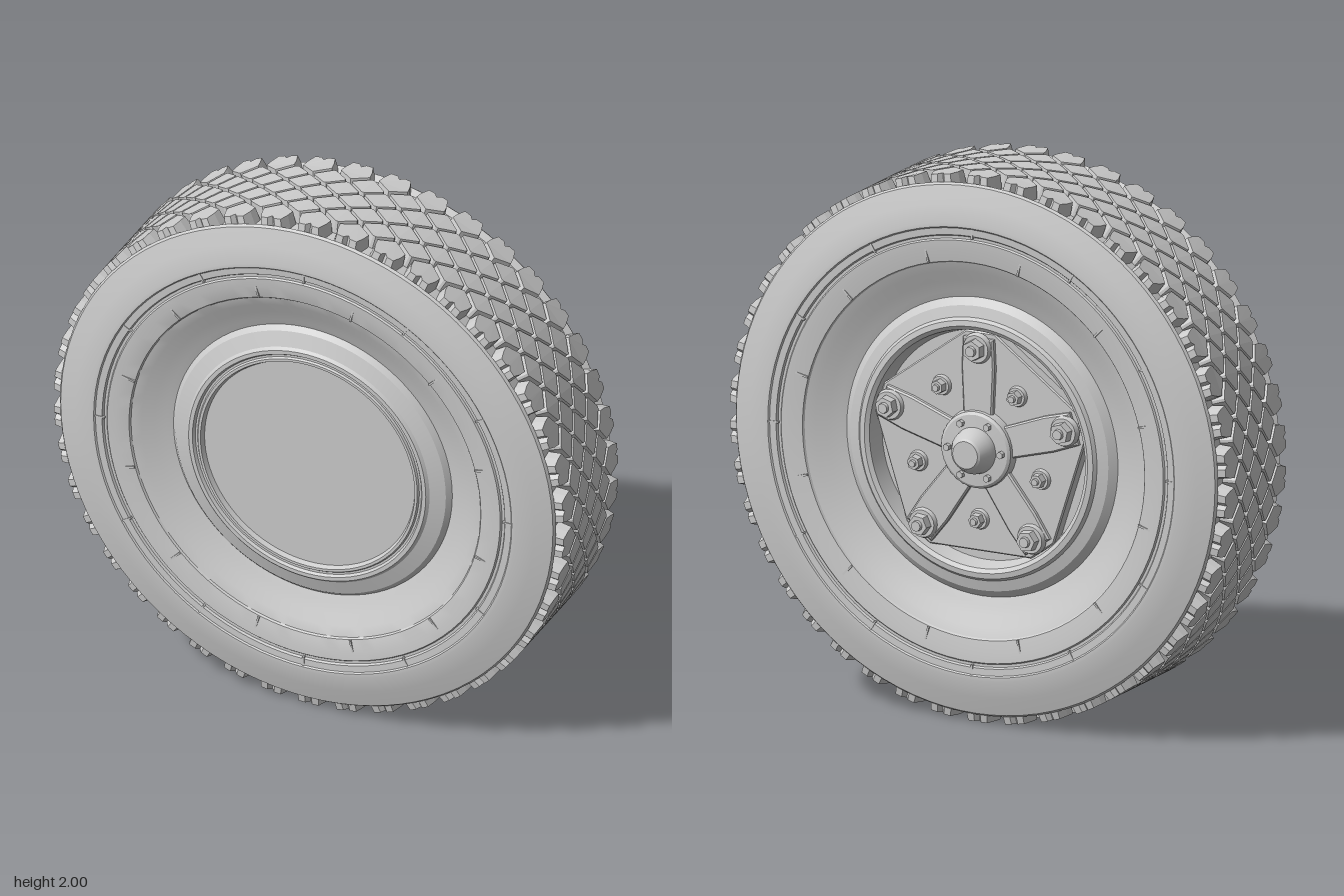
import * as THREE from 'three';
import { mergeGeometries, toCreasedNormals } from 'three/addons/utils/BufferGeometryUtils.js';

const TAU = Math.PI * 2;
const MID = 0.018; // middle plane of the tyre
const PITCHES = 42; // tread repeats round the tyre
const mat = new THREE.MeshStandardMaterial({ color: 0xcccccc });

function add(parent, name, geometry, x = 0, y = 0, z = 0) {
  const mesh = new THREE.Mesh(geometry, mat);
  mesh.name = name;
  mesh.position.set(x, y, z);
  parent.add(mesh);
  return mesh;
}

const shapeOf = (pts) => new THREE.Shape(pts.map(([x, y]) => new THREE.Vector2(x, y)));

// Profile of [radius, z] turned about the z axis
function turned(profile, segments) {
  const pts = profile.map(([r, z]) => new THREE.Vector2(r, z));
  const g = new THREE.LatheGeometry(pts, segments).rotateX(Math.PI / 2);
  return toCreasedNormals(g, 0.4);
}

// Tapered tread block, bent on to the tyre: x runs round it, y across it
function treadBlock(shape, angle, z) {
  const depth = 0.055;
  const g = new THREE.ExtrudeGeometry(shape, { depth, bevelEnabled: false });
  const p = g.attributes.position;
  for (let i = 0; i < p.count; i++) {
    const h = p.getZ(i);
    const taper = 1 - 0.14 * (h / depth);
    const t = angle - p.getX(i) * taper;
    const r = 0.945 + h;
    p.setXYZ(i, Math.sin(t) * r, Math.cos(t) * r, z + p.getY(i) * taper);
  }
  g.computeVertexNormals();
  return g;
}

function treadGeometry() {
  const diamond = shapeOf([[0.07, -0.005], [0.07, 0.005], [0.006, 0.049], [-0.006, 0.049],
    [-0.07, 0.005], [-0.07, -0.005], [-0.006, -0.049], [0.006, -0.049]]);
  // Shoulder block with a pointed inner end and a notched outer edge
  const outline = [[0, -0.048], [0.066, -0.004], [0.06, 0.03], [0.045, 0.07], [0.015, 0.07],
    [0, 0.052], [-0.015, 0.07], [-0.045, 0.07], [-0.06, 0.03], [-0.066, -0.004]];
  const outer = shapeOf(outline);
  const inner = shapeOf(outline.map(([x, y]) => [x, -y]).reverse());
  const blocks = [];
  for (let i = 0; i < PITCHES; i++) {
    const a = (i / PITCHES) * TAU;
    const half = a + TAU / PITCHES / 2;
    for (const z of [-0.0525, 0.0525]) blocks.push(treadBlock(diamond, a, MID + z));
    for (const z of [-0.105, 0, 0.105]) blocks.push(treadBlock(diamond, half, MID + z));
    blocks.push(treadBlock(outer, a, MID + 0.16), treadBlock(inner, a, MID - 0.16));
  }
  return mergeGeometries(blocks);
}

// Washer, hex nut and stud end, pointing along +z
function addNut(parent, name, r, height, x, y, z) {
  const nut = new THREE.Group();
  nut.name = name;
  nut.position.set(x, y, z);
  const disc = (part, rTop, rBase, h, sides, z0) => {
    const g = new THREE.CylinderGeometry(rTop, rBase, h, sides).rotateX(Math.PI / 2);
    add(nut, part, toCreasedNormals(g, 0.6), 0, 0, z0 + h / 2);
  };
  disc('washer', r * 1.25, r * 1.45, height * 0.3, 20, 0);
  disc('hexNut', r * 0.92, r, height * 0.5, 6, height * 0.3);
  disc('studEnd', r * 0.45, r * 0.5, height * 0.2, 12, height * 0.8);
  parent.add(nut);
}

export function createModel() {
  const model = new THREE.Group();
  model.name = 'wheel';
  const wheel = new THREE.Group();
  wheel.name = 'wheelAssembly';
  wheel.position.y = 1;
  model.add(wheel);

  // Tyre carcass: one sidewall as [radius, offset from the middle], mirrored
  const side = [[0.52, 0.15], [0.545, 0.185], [0.57, 0.195], [0.61, 0.21], [0.65, 0.23],
    [0.685, 0.243], [0.69, 0.25], [0.74, 0.258], [0.77, 0.26], [0.775, 0.254], [0.785, 0.254],
    [0.79, 0.262], [0.815, 0.263], [0.82, 0.268], [0.835, 0.268], [0.9, 0.253], [0.965, 0.235],
    [0.972, 0.225], [0.95, 0.21]];
  const back = side.map(([r, s]) => [r, MID - s]);
  const front = side.map(([r, s]) => [r, MID + s]).reverse();
  add(wheel, 'tyre', turned([...back, ...front], 96));
  add(wheel, 'treadBlocks', treadGeometry());

  // Fine raised lines across both sidewalls
  const ribs = [];
  for (let i = 0; i < 24; i++) {
    for (const s of [-1, 1]) {
      const r = i % 2 ? 0.725 : 0.8;
      const g = new THREE.BoxGeometry(0.007, i % 2 ? 0.07 : 0.04, 0.012);
      g.translate(0, r, MID + s * (i % 2 ? 0.252 : 0.259));
      ribs.push(g.rotateZ((i / 24) * TAU));
    }
  }
  add(wheel, 'sidewallRibs', mergeGeometries(ribs));

  // Rim: open dish at the back, closed face at the front
  add(wheel, 'rim', turned([[0, -0.14], [0.42, -0.14], [0.435, -0.205], [0.45, -0.215],
    [0.47, -0.212], [0.48, -0.2], [0.52, -0.19], [0.55, -0.165], [0.55, 0.2], [0.53, 0.222],
    [0.475, 0.24], [0.465, 0.25], [0.45, 0.25], [0.443, 0.24], [0.435, 0.24], [0.43, 0.247],
    [0.42, 0.247], [0.412, 0.23], [0, 0.23]], 80));

  // Hub side, turned so that its own +z points to the back
  const hub = new THREE.Group();
  hub.name = 'hub';
  hub.rotation.y = Math.PI;
  wheel.add(hub);

  // Five-sided plate with clipped corners
  const corners = [];
  for (let i = 0; i < 5; i++) {
    for (const d of [-0.13, 0.13]) {
      const a = Math.PI / 2 + (i / 5) * TAU + d;
      corners.push([Math.cos(a) * 0.425, Math.sin(a) * 0.425]);
    }
  }
  add(hub, 'hubPlate', new THREE.ExtrudeGeometry(shapeOf(corners),
    { depth: 0.04, bevelEnabled: true, bevelSize: 0.005, bevelThickness: 0.005, bevelSegments: 1 }), 0, 0, 0.14);

  // Spokes with large nuts, small nuts between them
  const spoke = shapeOf([[-0.05, 0.08], [0.05, 0.08], [0.06, 0.3], [0.055, 0.4], [-0.055, 0.4], [-0.06, 0.3]]);
  const spokeGeometry = new THREE.ExtrudeGeometry(spoke,
    { depth: 0.015, bevelEnabled: true, bevelSize: 0.006, bevelThickness: 0.006, bevelSegments: 1 });
  for (let i = 0; i < 5; i++) {
    const arm = new THREE.Group();
    arm.name = 'hubArm';
    arm.rotation.z = (i / 5) * TAU;
    hub.add(arm);
    add(arm, 'spoke', spokeGeometry, 0, 0, 0.183);
    addNut(arm, 'largeNut', 0.04, 0.062, 0, 0.37, 0.2);
    const a = Math.PI / 2 + TAU / 10;
    addNut(arm, 'smallNut', 0.027, 0.055, Math.cos(a) * 0.26, Math.sin(a) * 0.26, 0.183);
  }

  // Centre boss with flange bolts and a tapered cap
  add(hub, 'hubFlange', turned([[0.15, 0.17], [0.14, 0.215], [0.13, 0.222], [0.085, 0.225],
    [0.08, 0.25], [0.058, 0.288], [0.05, 0.294], [0, 0.294]], 32));
  for (let i = 0; i < 6; i++) {
    const a = (i / 6) * TAU;
    const g = new THREE.CylinderGeometry(0.013, 0.014, 0.02, 6).rotateX(Math.PI / 2);
    add(hub, 'flangeBolt', toCreasedNormals(g, 0.6), Math.cos(a) * 0.108, Math.sin(a) * 0.108, 0.23);
  }
  return model;
}
